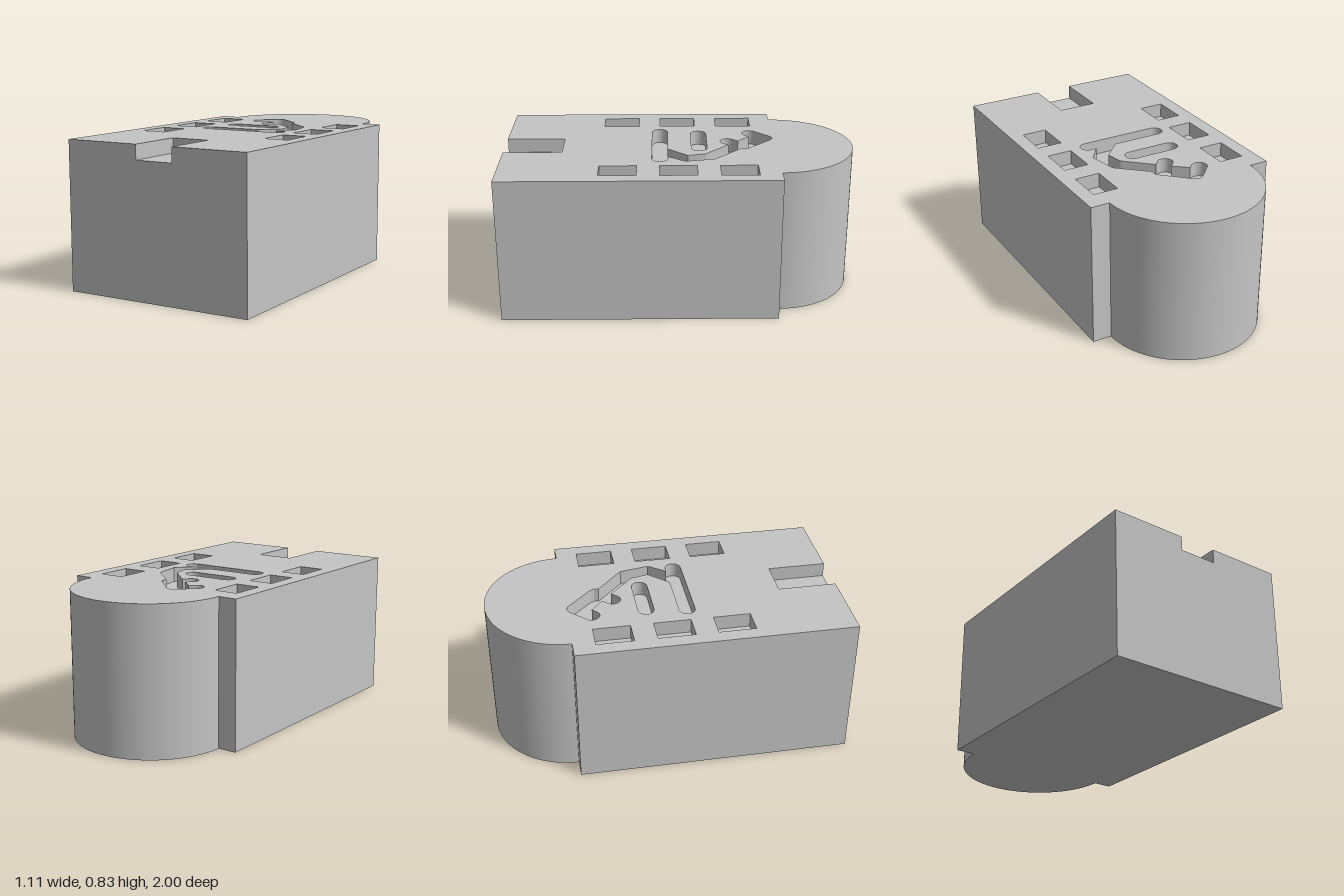
import * as THREE from 'three';
import { toCreasedNormals } from 'three/addons/utils/BufferGeometryUtils.js';

// Plan points are [x, s], where s points to the back (s = -z).
const HEIGHT = 0.835, FLOOR = 0.752;
const W = 0.555, BACK = 0.555, DOME = 0.445;

const stone = new THREE.MeshStandardMaterial({ color: 0xc4c4c4 });
stone.name = 'grey';

// Points on an arc, angles in degrees
function arc(cx, cs, r, from, to, steps = 12) {
  const pts = [];
  for (let i = 0; i <= steps; i++) {
    const a = THREE.MathUtils.degToRad(from + (to - from) * i / steps);
    pts.push([cx + r * Math.cos(a), cs + r * Math.sin(a)]);
  }
  return pts;
}

const toVectors = pts => pts.map(([x, y]) => new THREE.Vector2(x, y));

// Horizontal face looking up, with optional holes
function flat(pts, y, holes = []) {
  const shape = new THREE.Shape(toVectors(pts));
  shape.holes = holes.map(h => new THREE.Path(toVectors(h)));
  return new THREE.ShapeGeometry(shape).rotateX(-Math.PI / 2).translate(0, y, 0);
}

// Upright wall along a path, facing to the right of its direction
function wall(pts, y0, y1) {
  const pos = [];
  for (let i = 0; i < pts.length - 1; i++) {
    const [ax, as] = pts[i], [bx, bs] = pts[i + 1];
    pos.push(ax, y0, -as, bx, y0, -bs, bx, y1, -bs);
    pos.push(ax, y0, -as, bx, y1, -bs, ax, y1, -as);
  }
  const g = new THREE.BufferGeometry();
  g.setAttribute('position', new THREE.Float32BufferAttribute(pos, 3));
  return toCreasedNormals(g, 0.55);
}

export function createModel() {
  const model = new THREE.Group();
  model.name = 'block';

  const add = (name, geometry, parent = model) => {
    const mesh = new THREE.Mesh(geometry, stone);
    mesh.name = name;
    parent.add(mesh);
  };

  // Sides and rounded back, from front right corner round to front left
  const outline = [
    [W, -1], [W, BACK],
    ...arc(0, BACK, DOME, 0, 180, 64),
    [-W, BACK], [-W, -1],
  ];
  add('outerWalls', wall(outline, 0, HEIGHT));

  // Underside
  const under = new THREE.Shape(toVectors(outline.map(([x, s]) => [x, -s])));
  add('underside', new THREE.ShapeGeometry(under).rotateX(Math.PI / 2));

  // Front face with the notch cut from its upper edge
  const n = 0.112, notchBack = -0.665;
  const front = new THREE.Shape(toVectors([
    [-W, 0], [W, 0], [W, HEIGHT], [n, HEIGHT], [n, FLOOR],
    [-n, FLOOR], [-n, HEIGHT], [-W, HEIGHT],
  ]));
  add('frontWall', new THREE.ShapeGeometry(front).translate(0, 0, 1));

  const notch = [[-n, -1], [-n, notchBack], [n, notchBack], [n, -1]];
  add('notchWalls', wall(notch, FLOOR, HEIGHT));
  add('notchFloor', flat(notch, FLOOR));

  // Recess outlines, anticlockwise seen from above
  const recesses = [];
  for (const side of [-1, 1]) {
    for (const z of [-0.328, 0.007, 0.34]) {
      const x = side * 0.401, hx = 0.072, hs = 0.104;
      recesses.push(['windowRecess', [
        [x - hx, -z - hs], [x + hx, -z - hs], [x + hx, -z + hs], [x - hx, -z + hs],
      ]]);
    }
  }

  // Short slot
  recesses.push(['slotRecess', [
    ...arc(0.052, 0.116, 0.045, -90, 90),
    ...arc(-0.192, 0.116, 0.045, 90, 270),
  ]]);

  // Long slot joined to a bent arm with a hooked head
  recesses.push(['armRecess', [
    ...arc(0.22, -0.11, 0.045, -90, 90),
    [0.188, -0.065], [0.262, 0.032], [0.23, 0.2],
    [0.066, 0.35], [0.07, 0.375], [0.06, 0.397],
    ...arc(-0.112, 0.502, 0.045, 45, 135, 8),
    ...arc(-0.197, 0.419, 0.044, 135, 315),
    [-0.14, 0.413], [-0.06, 0.344],
    ...arc(-0.058, 0.284, 0.044, 135, 315),
    [0.003, 0.286], [0.15, 0.148], [0.172, 0.048], [0.066, -0.065],
    ...arc(-0.225, -0.11, 0.045, 90, 270),
  ]]);

  for (const [name, pts] of recesses) {
    const group = new THREE.Group();
    group.name = name;
    add('recessWalls', wall([...pts, pts[0]].reverse(), FLOOR, HEIGHT), group);
    add('recessFloor', flat(pts, FLOOR), group);
    model.add(group);
  }

  // Top face with the notch and all recesses cut out
  add('topFace', flat([...outline, ...notch], HEIGHT, recesses.map(r => r[1])));

  return model;
}
